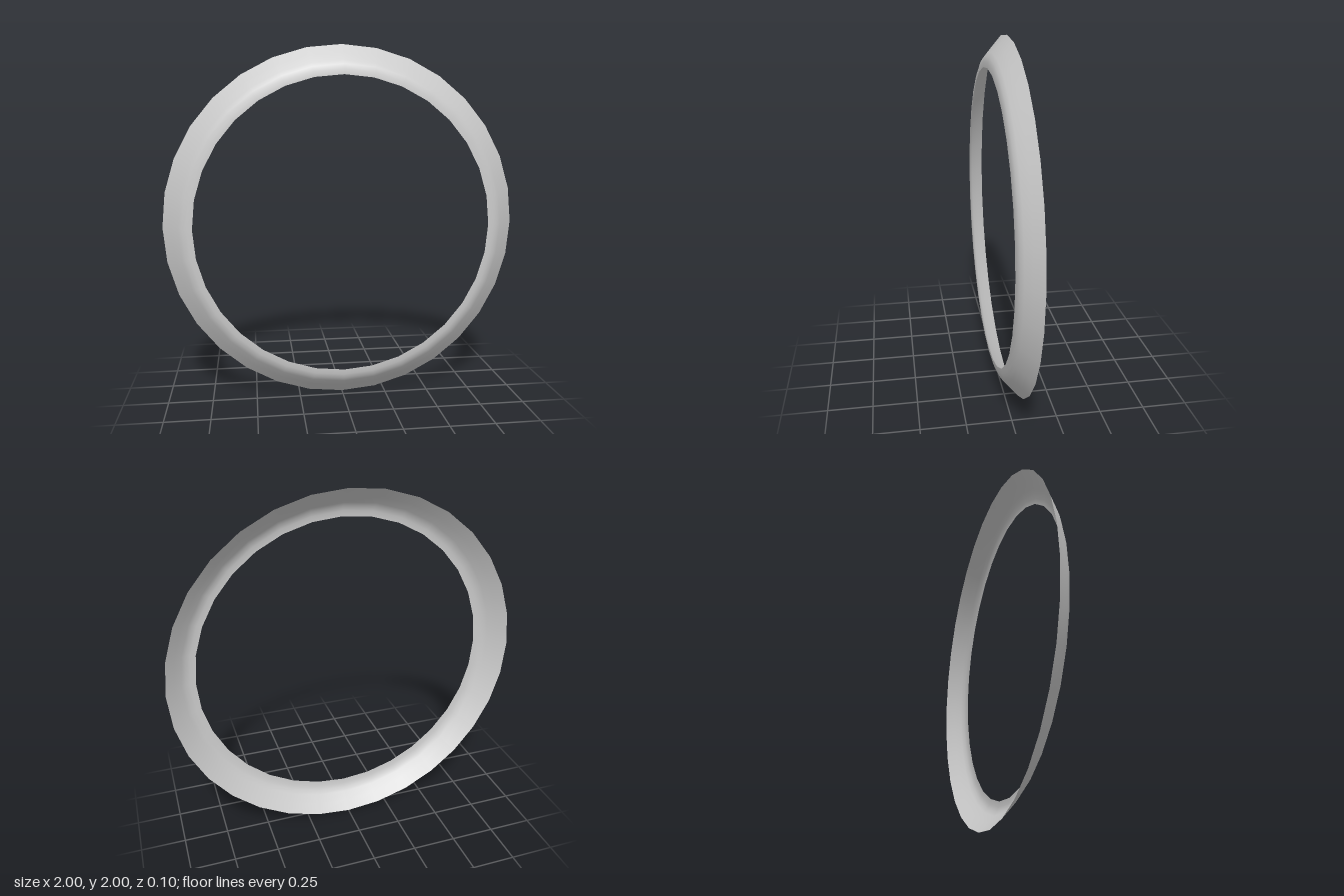
import * as THREE from 'three';

export function createModel() {
  const group = new THREE.Group();
  group.name = 'trimRing';

  // Open cross-section (radius, depth): sloped flank, rounded shoulder, flat inner lip
  const profile = [
    [1, -0.052], [0.95, -0.008], [0.91, 0.026], [0.888, 0.041], [0.862, 0.05], [0.832, 0.052],
  ].map(([r, z]) => new THREE.Vector2(r, z));

  // Spin the section, then turn its axis to face the front
  const geometry = new THREE.LatheGeometry(profile, 32);
  geometry.rotateX(Math.PI / 2);

  const ring = new THREE.Mesh(
    geometry,
    new THREE.MeshStandardMaterial({ color: 0xcccccc, side: THREE.DoubleSide }),
  );
  ring.name = 'ring';
  ring.position.y = 1;
  group.add(ring);
  return group;
}
